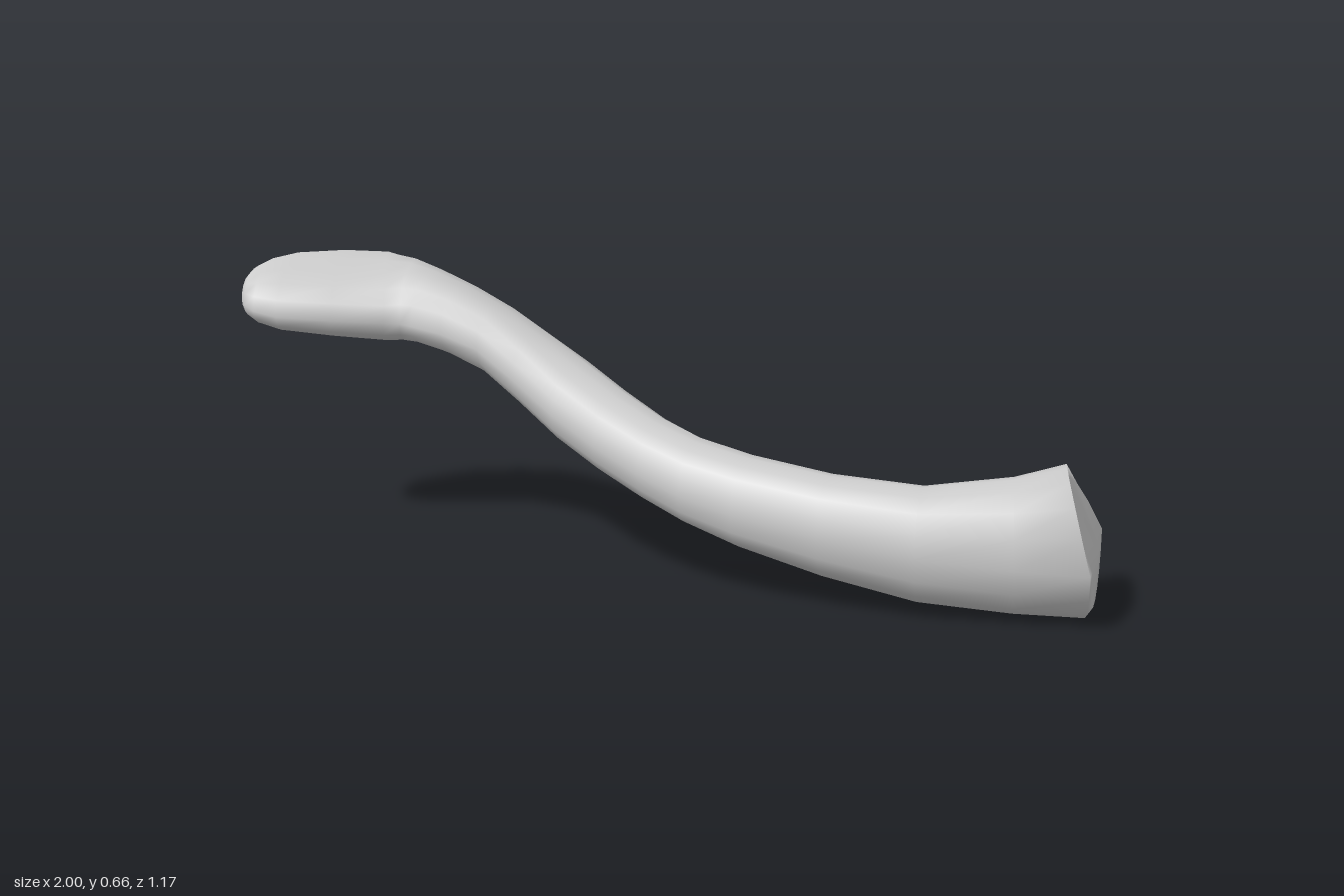
import * as THREE from 'three';

// Key sections along the bone, from the flat outer end to the thick inner end:
// back x, z | front x, z | back edge y, front edge y | top y, bottom y
const KEYS = [
  [-0.99, -0.45, -0.99, -0.35, 0.58, 0.565, 0.60, 0.55],
  [-0.965, -0.485, -0.975, -0.295, 0.585, 0.55, 0.63, 0.525],
  [-0.87, -0.568, -0.89, -0.255, 0.60, 0.525, 0.652, 0.5],
  [-0.66, -0.578, -0.63, -0.262, 0.605, 0.51, 0.648, 0.477],
  [-0.48, -0.478, -0.56, -0.245, 0.525, 0.505, 0.63, 0.455],
  [-0.285, -0.366, -0.39, -0.14, 0.445, 0.465, 0.555, 0.385],
  [-0.11, -0.12, -0.2, 0.055, 0.395, 0.345, 0.447, 0.285],
  [0.07, 0.085, 0, 0.245, 0.295, 0.25, 0.352, 0.19],
  [0.27, 0.222, 0.2, 0.37, 0.22, 0.19, 0.3, 0.112],
  [0.62, 0.33, 0.57, 0.535, 0.155, 0.14, 0.267, 0.03],
  [0.96, 0.272, 0.915, 0.585, 0.15, 0.12, 0.31, 0.006],
];
const SIDES = 16;
const OUTER_TIP = new THREE.Vector3(-1, 0.575, -0.4);
const INNER_CENTRE = new THREE.Vector3(0.968, 0.14, 0.425);

// A cubic midpoint is added between neighbouring key sections
function refine(keys) {
  return keys.flatMap((key, i) => {
    if (i === keys.length - 1) return [key];
    const next = keys[i + 1];
    const before = keys[Math.max(i - 1, 0)];
    const after = keys[Math.min(i + 2, keys.length - 1)];
    return [key, key.map((v, n) => (9 * (v + next[n]) - before[n] - after[n]) / 16)];
  });
}

// Rounded, slightly squared outline; angle 0 is the front edge, PI / 2 the top
function sectionRing([bx, bz, fx, fz, yb, yf, top, bottom]) {
  const soften = (v) => Math.sign(v) * Math.abs(v) ** 0.9;
  const mid = (yb + yf) / 2;
  // The top leans outward where the shaft flares into the inner end
  const lean = 0.045 * THREE.MathUtils.smoothstep((bx + fx) / 2, 0.75, 0.93);
  return Array.from({ length: SIDES }, (_, j) => {
    const angle = (j / SIDES) * Math.PI * 2;
    const t = (soften(Math.cos(angle)) + 1) / 2;
    const s = soften(Math.sin(angle));
    const y = THREE.MathUtils.lerp(yb, yf, t) + (s > 0 ? top - mid : mid - bottom) * s;
    return new THREE.Vector3(bx + (fx - bx) * t - lean * Math.max(s, 0), y, bz + (fz - bz) * t);
  });
}

function boneGeometry() {
  const rings = refine(KEYS).map(sectionRing);
  // The inner face bulges past its rim, most toward the back and least at the top
  rings.push(rings.at(-1).map((point) => {
    const p = point.clone().lerp(INNER_CENTRE, 0.15);
    p.x += 0.145 * (0.57 - p.z) - 0.25 * Math.max(0, p.y - 0.15);
    return p;
  }));

  const points = [...rings.flat(), OUTER_TIP, INNER_CENTRE];
  const last = (rings.length - 1) * SIDES;
  const tip = rings.length * SIDES;
  const index = [];
  for (let j = 0; j < SIDES; j++) {
    const k = (j + 1) % SIDES;
    for (let row = 0; row < last; row += SIDES) {
      const next = row + SIDES;
      index.push(row + j, next + j, next + k, row + j, next + k, row + k);
    }
    // Close both ends
    index.push(tip, j, k, tip + 1, last + k, last + j);
  }
  const geometry = new THREE.BufferGeometry().setFromPoints(points);
  geometry.setIndex(index);
  geometry.computeVertexNormals();
  return geometry;
}

export function createModel() {
  const group = new THREE.Group();
  group.name = 'collarbone';
  const bone = new THREE.Mesh(boneGeometry(), new THREE.MeshStandardMaterial({ color: 0xcccccc }));
  bone.name = 'boneShaft';
  group.add(bone);
  return group;
}
